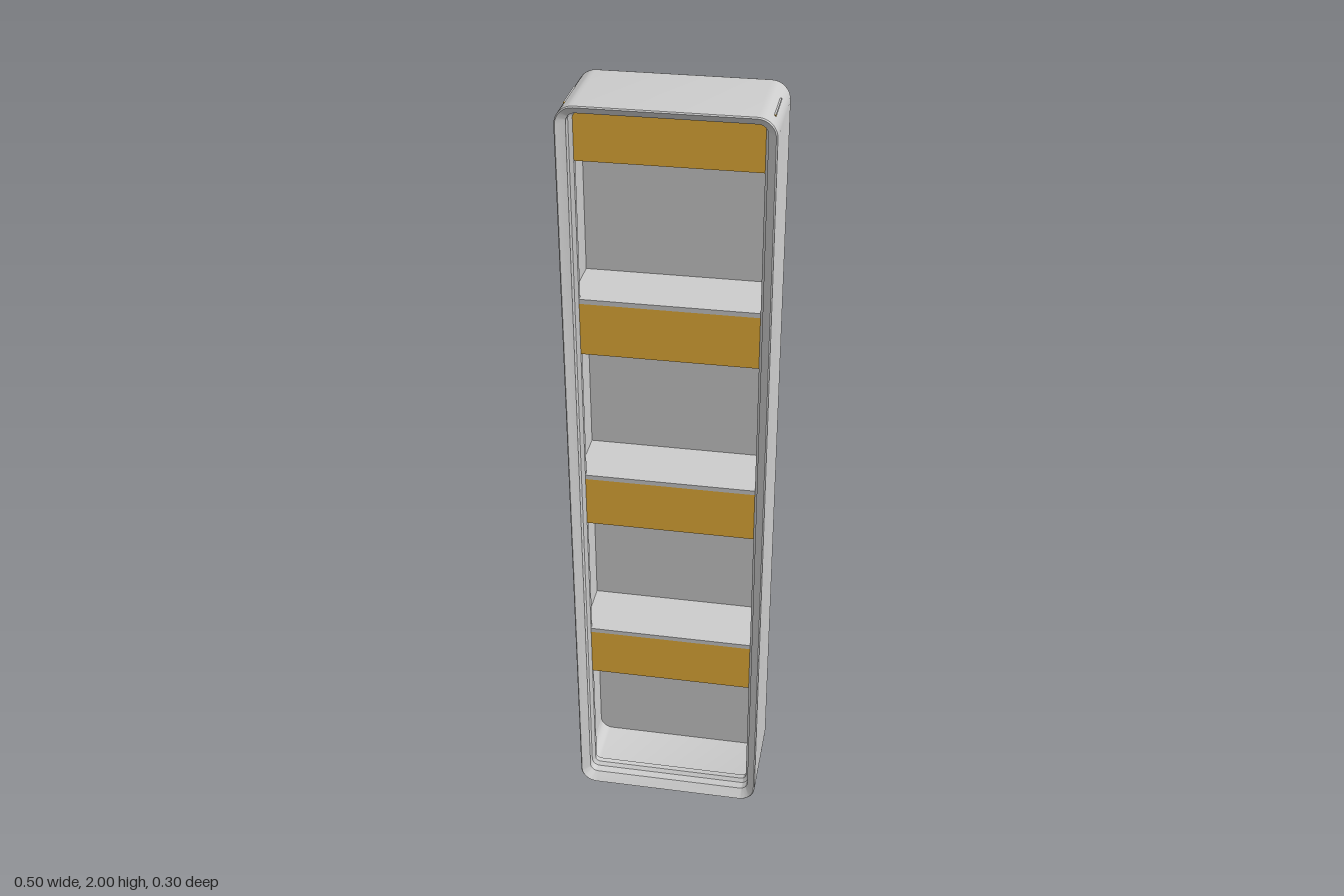
import * as THREE from 'three';
import { toCreasedNormals } from 'three/addons/utils/BufferGeometryUtils.js';

const W = 0.496, H = 2, R = 0.0448, WALL = 0.0113;
const BACK = -0.152, BASE = -0.095, FLOOR = -0.068, SHELF = 0.0995, FRONT = 0.152;

const grey = new THREE.MeshStandardMaterial({ color: 0xcccccc });
const amber = new THREE.MeshStandardMaterial({ color: 0xe6ae38 });

// Rounded rectangle outline, counter-clockwise seen from +z
function outline(w, h, inset, z) {
  const r = Math.max(R - inset, 0.004), n = 8, pts = [];
  const cx = w / 2 - inset - r, cy = h / 2 - inset - r;
  [[1, 1], [-1, 1], [-1, -1], [1, -1]].forEach(([sx, sy], q) => {
    for (let i = 0; i <= n; i++) {
      const a = (q + i / n) * Math.PI / 2;
      pts.push([sx * cx + r * Math.cos(a), sy * cy + r * Math.sin(a), z]);
    }
  });
  return pts;
}

// Skin a run of [inset, z] steps, capped at both ends
function loft(w, h, steps) {
  const rings = steps.map(([inset, z]) => outline(w, h, inset, z));
  const n = rings[0].length, pos = [], index = [];
  rings.forEach(r => r.forEach(p => pos.push(...p)));
  for (let k = 0; k < rings.length - 1; k++)
    for (let i = 0; i < n; i++) {
      const a = k * n + i, b = k * n + (i + 1) % n;
      index.push(a, b, b + n, a, b + n, a + n);
    }
  const last = (rings.length - 1) * n;
  for (let i = 1; i < n - 1; i++) {
    index.push(0, i + 1, i);
    index.push(last, last + i, last + i + 1);
  }
  const g = new THREE.BufferGeometry();
  g.setAttribute('position', new THREE.Float32BufferAttribute(pos, 3));
  g.setIndex(index);
  return toCreasedNormals(g, 0.5);
}

export function createModel() {
  const model = new THREE.Group();
  const add = (name, geo, mat, y, z = 0) => {
    const m = new THREE.Mesh(geo, mat);
    m.name = name;
    m.position.set(0, y, z);
    model.add(m);
  };

  // Shell: outer wall, stepped stacking lip, inner wall and floor
  add('binShell', loft(W, H, [
    [0, BASE], [0, FRONT - 0.003], [0.003, FRONT],
    [0.0227, 0.131], [0.0227, 0.108], [0.031, SHELF],
    [0.031, 0.085], [WALL, 0.065], [WALL, FLOOR],
  ]), grey, H / 2);

  // Four stepped feet on the back
  const foot = loft(W, W, [
    [0.0352, BACK], [0.0257, BACK + 0.0096],
    [0.0257, BACK + 0.031], [0, BASE],
  ]);
  for (let i = 0; i < 4; i++) add('foot', foot, grey, 1 + (i - 1.5) * 0.5015);

  // Dividers between compartments
  const inner = W - 2 * WALL, t = 0.012;
  const edges = [0.502, 0.997, 1.494, H - WALL];
  const divider = new THREE.BoxGeometry(inner, t, SHELF - FLOOR);
  edges.slice(0, 3).forEach(y => add('divider', divider, grey, y + t / 2, (SHELF + FLOOR) / 2));

  // Label tabs with a sloping support beneath each
  const depth = 0.135, plate = 0.005;
  const label = new THREE.BoxGeometry(inner, depth, plate);
  const wedge = new THREE.Shape([
    [SHELF - plate, 0], [-0.01, 0], [0.085, -depth], [SHELF - plate, -depth],
  ].map(p => new THREE.Vector2(...p)));
  const support = new THREE.ExtrudeGeometry(wedge, { depth: inner, bevelEnabled: false });
  support.translate(0, 0, -inner / 2).rotateY(-Math.PI / 2);
  edges.forEach(y => {
    add('labelTab', label, amber, y - depth / 2, SHELF - plate / 2);
    add('labelSupport', support, grey, y);
  });

  return model;
}
